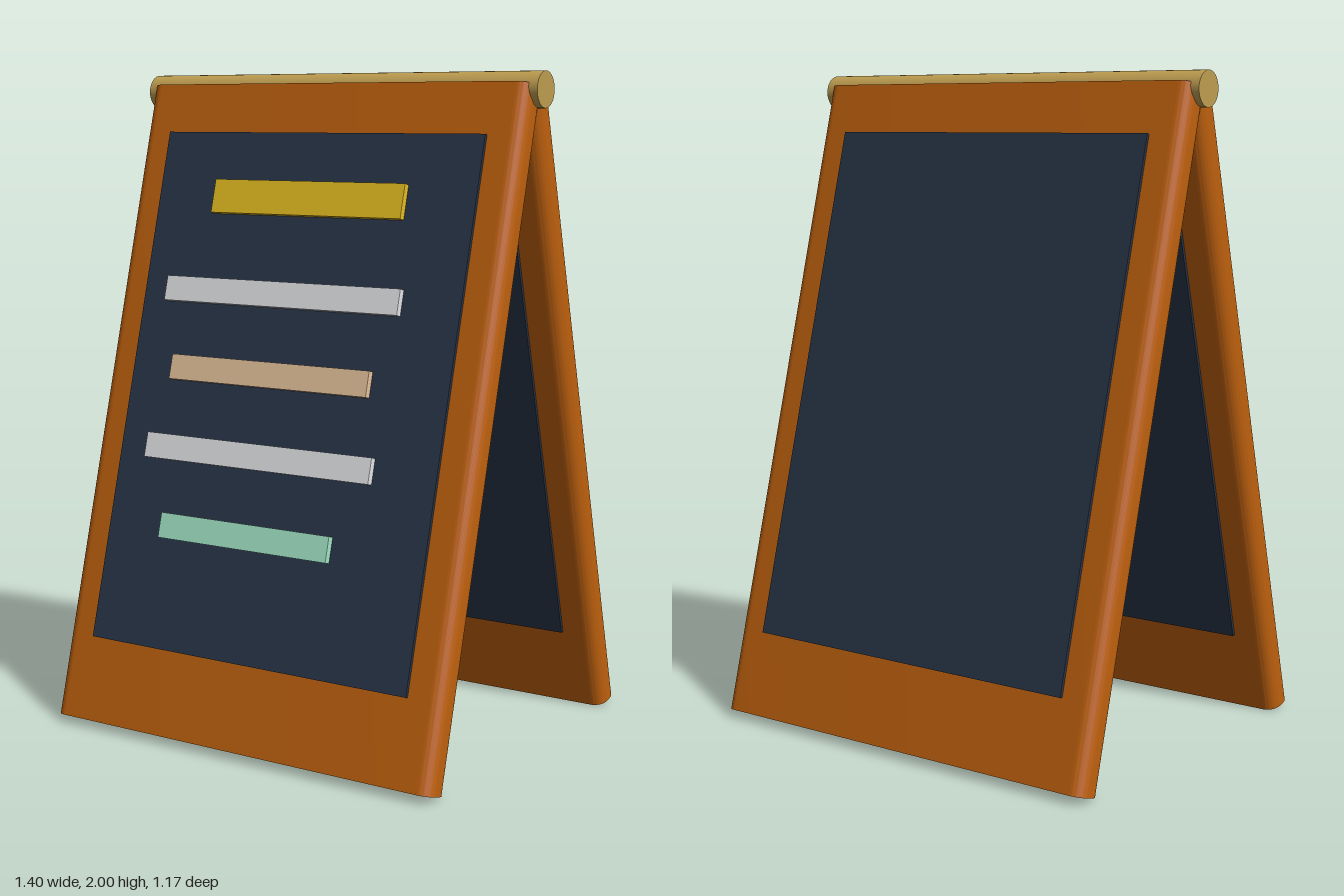
import * as THREE from 'three';
import { toCreasedNormals } from 'three/addons/utils/BufferGeometryUtils.js';

const TILT = THREE.MathUtils.degToRad(15);
const WIDTH = 1.36, LENGTH = 2.012, THICK = 0.1, EDGE = 0.04;

function material(name, color) {
  const m = new THREE.MeshStandardMaterial({ color });
  m.name = name;
  return m;
}

function part(name, geometry, mat, x = 0, y = 0, z = 0) {
  const mesh = new THREE.Mesh(geometry, mat);
  mesh.name = name;
  mesh.position.set(x, y, z);
  return mesh;
}

// Wooden panel: rounded cross-section swept along the panel's length
function panelGeometry() {
  const w = WIDTH / 2, t = THICK / 2, r = EDGE;
  const s = new THREE.Shape();
  s.moveTo(-w + r, -t);
  s.lineTo(w - r, -t);
  s.absarc(w - r, -t + r, r, -Math.PI / 2, 0);
  s.absarc(w - r, t - r, r, 0, Math.PI / 2);
  s.absarc(-w + r, t - r, r, Math.PI / 2, Math.PI);
  s.absarc(-w + r, -t + r, r, Math.PI, Math.PI * 1.5);
  const g = new THREE.ExtrudeGeometry(s, { depth: LENGTH, bevelEnabled: false, curveSegments: 8 });
  g.translate(0, 0, -LENGTH / 2);
  g.rotateX(-Math.PI / 2);
  return toCreasedNormals(g, 0.6);
}

export function createModel() {
  const wood = material('wood', 0xbf610e);
  const slate = material('slate', 0x283548);
  const brass = material('brass', 0xbe9d50);
  const yellow = material('yellow chalk', 0xf1c624);
  const white = material('white chalk', 0xecedef);
  const peach = material('peach chalk', 0xf1cca2);
  const mint = material('mint chalk', 0xabf2d2);

  const model = new THREE.Group();
  model.name = 'sandwichBoard';

  // One leaning leaf: wooden panel with a slate showing on both faces
  const panelGeo = panelGeometry();
  const slateGeo = new THREE.BoxGeometry(1.14, 1.6, 0.12);
  function leaf(name) {
    const g = new THREE.Group();
    g.name = name;
    g.position.set(0, 0.986, 0.277);
    g.rotation.x = -TILT;
    g.add(part('panel', panelGeo, wood), part('slate', slateGeo, slate, 0, 0.05, 0));
    return g;
  }

  const front = leaf('frontLeaf');
  model.add(front);

  const back = new THREE.Group();
  back.name = 'backSide';
  back.rotation.y = Math.PI;
  back.add(leaf('backLeaf'));
  model.add(back);

  // Raised text-line bars on the front slate: [left, right, centre, height, colour]
  const bars = [
    [-0.345, 0.34, 0.645, 0.104, yellow],
    [-0.475, 0.375, 0.351, 0.077, white],
    [-0.41, 0.31, 0.108, 0.077, peach],
    [-0.46, 0.36, -0.139, 0.077, white],
    [-0.36, 0.255, -0.378, 0.077, mint],
  ];
  bars.forEach(([x0, x1, y, h, mat], i) => {
    const geo = new THREE.BoxGeometry(x1 - x0, h, 0.022);
    front.add(part('menuBar' + (i + 1), geo, mat, (x0 + x1) / 2, y, 0.069));
  });

  // Hinge rod along the ridge
  const rod = part('hingeRod', new THREE.CylinderGeometry(0.053, 0.053, 1.4, 32), brass, 0, 1.947, 0);
  rod.rotation.z = Math.PI / 2;
  model.add(rod);

  return model;
}
